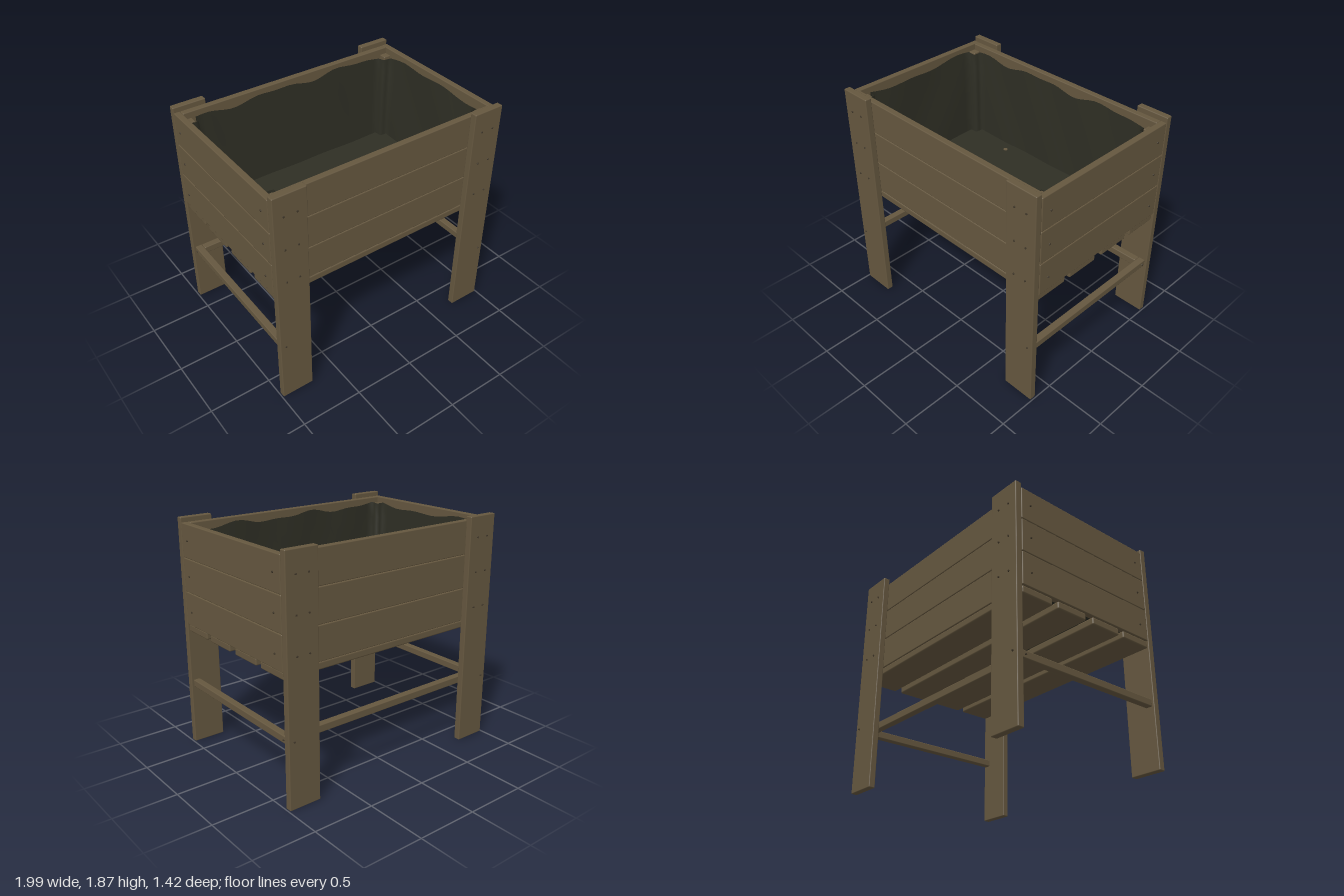
import * as THREE from 'three';
import { RoundedBoxGeometry } from 'three/addons/geometries/RoundedBoxGeometry.js';

export function createModel() {
  const model = new THREE.Group();
  model.name = 'raisedPlanter';

  const wood = new THREE.MeshStandardMaterial({ color: 0x65573f });
  wood.name = 'brown wood';
  const cloth = new THREE.MeshStandardMaterial({ color: 0x2e2e24, side: THREE.DoubleSide });
  cloth.name = 'dark liner';
  const metal = new THREE.MeshStandardMaterial({ color: 0x41382a });
  metal.name = 'dark nail';

  // softly eased plank given by its limits on each axis
  function plank(name, [x0, x1], [y0, y1], [z0, z1], radius = 0.007) {
    const geometry = new RoundedBoxGeometry(x1 - x0, y1 - y0, z1 - z0, 2, radius);
    const mesh = new THREE.Mesh(geometry, wood);
    mesh.position.set((x0 + x1) / 2, (y0 + y1) / 2, (z0 + z1) / 2);
    mesh.name = name;
    model.add(mesh);
  }
  const span = (sign, a, b) => (sign > 0 ? [a, b] : [-b, -a]);

  // small round nail head, facing along x or z
  const nailGeometry = new THREE.CylinderGeometry(0.007, 0.008, 0.012, 8);
  function nail(x, y, z, axis) {
    const mesh = new THREE.Mesh(nailGeometry, metal);
    mesh.position.set(x, y, z);
    if (axis === 'x') mesh.rotation.z = x > 0 ? -Math.PI / 2 : Math.PI / 2;
    else mesh.rotation.x = z > 0 ? Math.PI / 2 : -Math.PI / 2;
    mesh.name = 'nail';
    model.add(mesh);
  }

  // legs, corner posts, and their nails
  for (const sx of [-1, 1]) {
    for (const sz of [-1, 1]) {
      plank('leg', span(sx, 0.725, 0.99), [0, 1.87], span(sz, 0.65, 0.703));
      plank('cornerPost', span(sx, 0.877, 0.94), [1.03, 1.785], span(sz, 0.532, 0.595));
      for (const y of [1.145, 1.43, 1.705]) {
        nail(sx * 0.91, y, sz * 0.704, 'z');
        nail(sx * 0.805, y, sz * 0.704, 'z');
        nail(sx * 0.991, y, sz * 0.565, 'x');
      }
      nail(sx * 0.945, 0.53, sz * 0.704, 'z');
    }
  }

  // three courses of boards round the box
  for (let i = 0; i < 3; i++) {
    const y = [1.03 + i * 0.269, 1.296 + i * 0.269];
    for (const s of [-1, 1]) {
      plank('longBoard', [-0.94, 0.94], y, span(s, 0.595, 0.645));
      plank('sideBoard', span(s, 0.94, 0.99), y, [-0.647, 0.647]);
    }
  }

  // floor slats under the box
  for (const z of [[0.37, 0.647], [0.042, 0.32], [-0.308, -0.03], [-0.642, -0.362]]) {
    plank('floorSlat', [-0.98, 0.98], [0.97, 1.03], z, 0.012);
  }

  // side stretchers and the rear stretcher between them
  for (const s of [-1, 1]) {
    plank('sideStretcher', span(s, 0.915, 0.972), [0.492, 0.55], [-0.65, 0.65]);
    nail(s * 0.973, 0.52, -0.615, 'x');
  }
  plank('rearStretcher', [-0.915, 0.915], [0.492, 0.552], [-0.645, -0.587]);

  // liner: corners of its plan, stepping in round each corner post
  const plan = [
    [0.93, -0.515], [0.93, 0.515], [0.865, 0.52], [0.86, 0.585],
    [-0.86, 0.585], [-0.865, 0.52], [-0.93, 0.515],
    [-0.93, -0.515], [-0.865, -0.52], [-0.86, -0.585],
    [0.86, -0.585], [0.865, -0.52],
  ];
  const path = [];
  plan.forEach(([x, z], i) => {
    const [nx, nz] = plan[(i + 1) % plan.length];
    const steps = Math.max(2, Math.round(Math.hypot(nx - x, nz - z) / 0.06));
    for (let k = 0; k < steps; k++) {
      const t = k / steps;
      path.push([x + (nx - x) * t, z + (nz - z) * t]);
    }
  });

  // rows rise from the floor to a loose, wavy rim
  const rows = 6, n = path.length, positions = [], indices = [];
  for (let r = 0; r <= rows; r++) {
    const v = r / rows;
    path.forEach(([x, z]) => {
      const wave = Math.sin(x * 9 + z * 5) + 0.6 * Math.sin(x * 17 - z * 13);
      const inset = 1 - 0.022 * (1 - v) - 0.006 * (1 + Math.sin(x * 11 + z * 8 + v * 4));
      positions.push(x * inset, 1.045 + v * (0.735 + 0.016 * wave), z * inset);
    });
  }
  for (let r = 0; r < rows; r++) {
    for (let i = 0; i < n; i++) {
      const a = r * n + i, b = r * n + (i + 1) % n;
      indices.push(a, b, a + n, b, b + n, a + n);
    }
  }
  const wallGeometry = new THREE.BufferGeometry();
  wallGeometry.setAttribute('position', new THREE.Float32BufferAttribute(positions, 3));
  wallGeometry.setIndex(indices);
  wallGeometry.computeVertexNormals();
  const linerWall = new THREE.Mesh(wallGeometry, cloth);
  linerWall.name = 'linerWall';
  model.add(linerWall);

  // flat bottom of the liner
  const linerFloor = new THREE.Mesh(new THREE.PlaneGeometry(1.86, 1.17), cloth);
  linerFloor.rotation.x = -Math.PI / 2;
  linerFloor.position.y = 1.045;
  linerFloor.name = 'linerFloor';
  model.add(linerFloor);

  // drain hole showing the slat below
  const drain = new THREE.Mesh(new THREE.CylinderGeometry(0.018, 0.018, 0.004, 16), wood);
  drain.position.set(-0.45, 1.048, -0.48);
  drain.name = 'drainHole';
  model.add(drain);

  return model;
}
